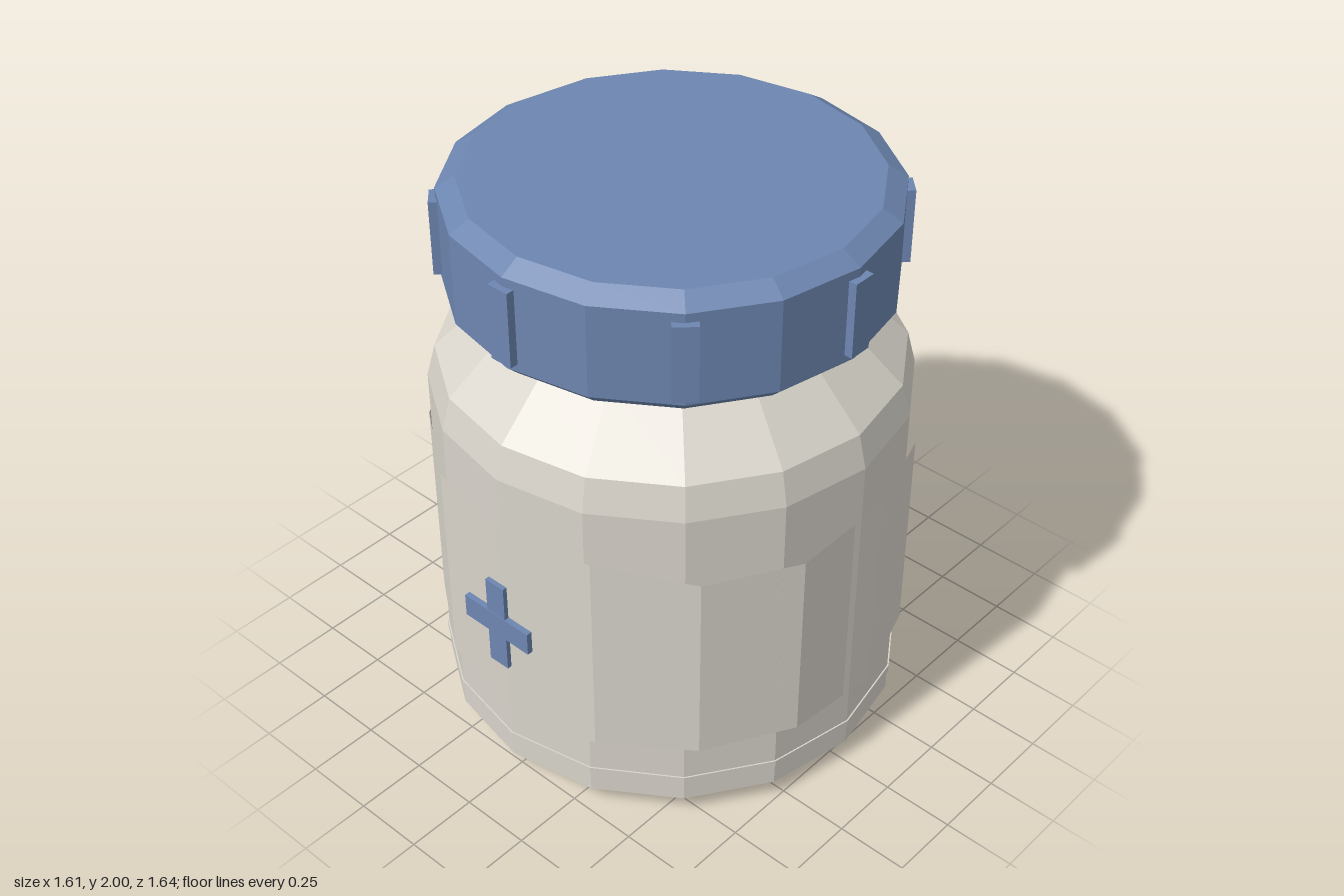
import * as THREE from 'three';

const SIDES = 16;

export function createModel() {
  const model = new THREE.Group();
  model.name = 'pillJar';

  const cream = new THREE.MeshStandardMaterial({ color: 0xd8d4cb, flatShading: true, side: THREE.DoubleSide });
  cream.name = 'cream plastic';
  const blue = new THREE.MeshStandardMaterial({ color: 0x6d86b0, flatShading: true });
  blue.name = 'blue plastic';

  // The jar sits slightly back so that jar and emblem together are centred
  const jar = new THREE.Group();
  jar.name = 'jar';
  jar.position.z = -0.015;
  model.add(jar);

  const add = (name, geometry, material, parent = jar) => {
    const mesh = new THREE.Mesh(geometry, material);
    mesh.name = name;
    parent.add(mesh);
    return mesh;
  };
  const turned = (profile) =>
    new THREE.LatheGeometry(profile.map(([r, y]) => new THREE.Vector2(r, y)), SIDES);

  // Body with bevelled foot, sloping shoulder and short neck
  add('body', turned([
    [0, 0], [0.705, 0], [0.8, 0.07], [0.8, 1.26], [0.77, 1.375],
    [0.56, 1.575], [0.56, 1.62], [0, 1.62],
  ]), cream);

  // Thin raised ring near the foot
  add('footRing', turned([[0.79, 0.147], [0.805, 0.147], [0.805, 0.173], [0.79, 0.173]]), cream);

  // Wrapped label, open at the back, with a worn dip in its top edge
  const arc = THREE.MathUtils.degToRad(242);
  const bottom = 0.305, top = 1.07;
  const label = new THREE.CylinderGeometry(0.812, 0.812, top - bottom, 10, 1, true, -arc / 2, arc);
  label.translate(0, (top + bottom) / 2, 0);
  const p = label.attributes.position;
  for (let i = 0; i < p.count; i++) {
    const angle = THREE.MathUtils.radToDeg(Math.atan2(p.getX(i), p.getZ(i)));
    if (p.getY(i) > 1 && angle > 40 && angle < 80) p.setY(i, 1.017);
  }
  add('label', label, cream);

  // Screw cap
  const cap = new THREE.Group();
  cap.name = 'cap';
  jar.add(cap);
  add('lid', turned([
    [0, 1.6], [0.685, 1.6], [0.73, 1.643], [0.73, 1.96], [0.665, 2], [0, 2],
  ]), blue, cap);

  // Grip ribs around the cap
  for (let i = 0; i < 8; i++) {
    const angle = (i * Math.PI) / 4;
    const rib = add('gripRib', new THREE.BoxGeometry(0.08, 0.26, 0.06), blue, cap);
    rib.position.set(Math.sin(angle) * 0.72, 1.8, Math.cos(angle) * 0.72);
    rib.rotation.y = angle;
  }

  // Cross emblem on the front
  const emblem = new THREE.Group();
  emblem.name = 'crossEmblem';
  emblem.position.set(0, 0.69, 0.815);
  model.add(emblem);
  add('crossUpright', new THREE.BoxGeometry(0.08, 0.34, 0.016), blue, emblem);
  add('crossBar', new THREE.BoxGeometry(0.284, 0.084, 0.02), blue, emblem);

  return model;
}
